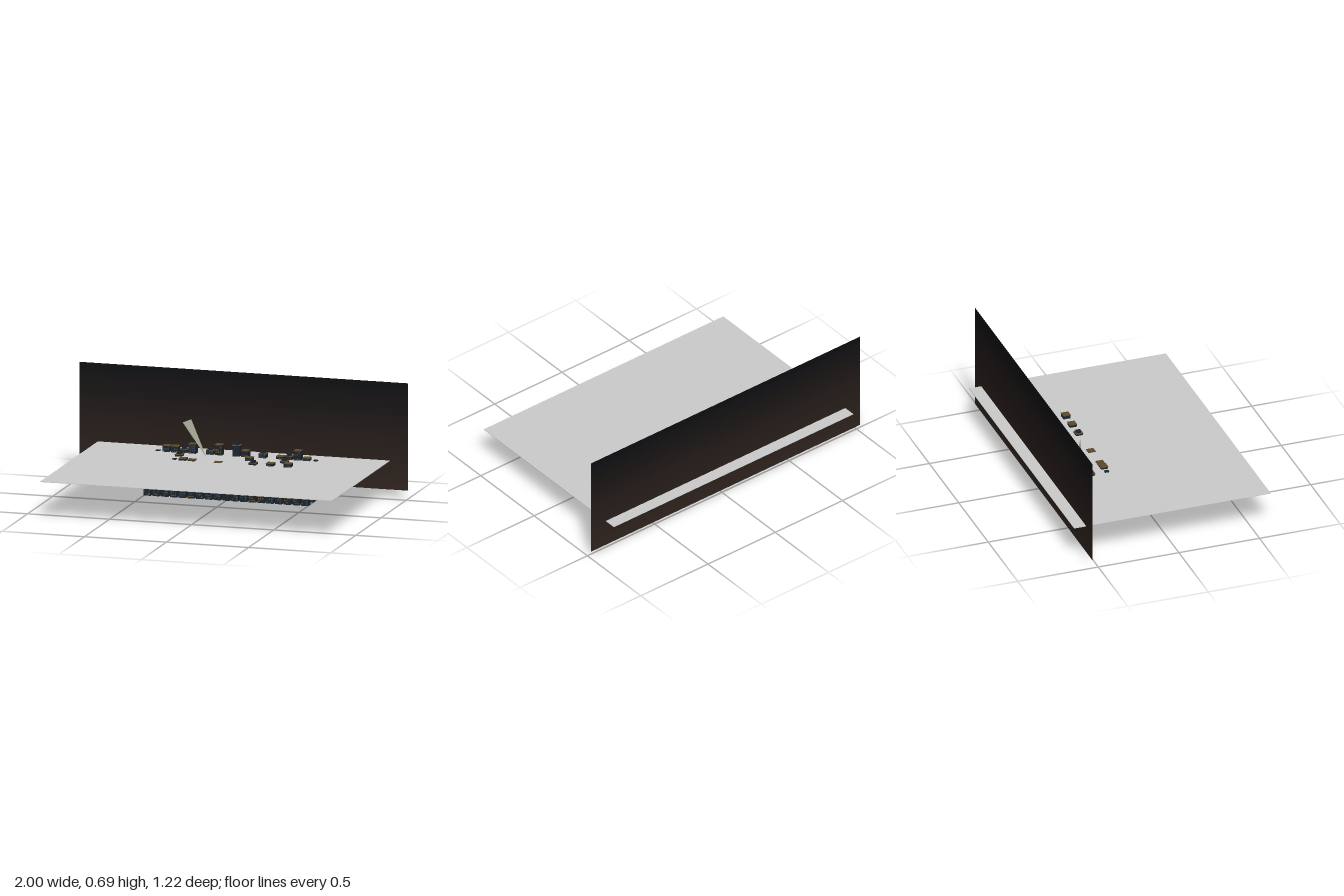
import * as THREE from 'three';
import { mergeGeometries } from 'three/addons/utils/BufferGeometryUtils.js';

const mat = (color) => new THREE.MeshStandardMaterial({ color });
const box = (w, h, d, x, y, z) => new THREE.BoxGeometry(w, h, d).translate(x, y, z);

export function createModel() {
  const model = new THREE.Group();
  const add = (name, geometry, material, parent = model) => {
    const mesh = new THREE.Mesh(geometry, material);
    mesh.name = name;
    parent.add(mesh);
    return mesh;
  };
  let seed = 7;
  const rand = () => (seed = (seed * 16807) % 2147483647) / 2147483647;

  // Thin floor sheet that the taller roofs poke through
  add('floor', box(1.78, 0.003, 1.22, 0, 0.221, 0), mat(0xcccccc));

  // Night sky backdrop, fading from black to warm brown in strips
  const sky = new THREE.Group();
  sky.name = 'skyBackdrop';
  const strips = 16, y0 = 0.05, y1 = 0.69;
  const low = new THREE.Color(0x30241e), high = new THREE.Color(0x0b0d11);
  for (let i = 0; i < strips; i++) {
    const h = (y1 - y0) / strips;
    const m = mat(0xffffff);
    m.color.copy(low).lerp(high, (i + 0.5) / strips);
    m.side = THREE.DoubleSide;
    add('skyStrip', new THREE.PlaneGeometry(2, h).translate(0, y0 + (i + 0.5) * h, -0.535), m, sky);
  }
  model.add(sky);

  // Rows of towers: column index from -9 to 9 -> height above the floor sheet
  const rows = [
    { z: -0.4, huts: [-9, -6, -3, 0, 3, 6, 9],
      tall: { '-8': 0.26, '-7': 0.26, '-6': 0.245, '-5': 0.28, '-3': 0.25, '-2': 0.285, 0: 0.288,
        1: 0.26, 3: 0.25, 5: 0.24, 6: 0.245, 7: 0.28, 8: 0.24 } },
    { z: -0.3, huts: [-6, 6], tall: { '-6': 0.235, 2: 0.243, 6: 0.235 } },
    { z: -0.2, huts: [-6, 3],
      tall: { '-5': 0.235, '-4': 0.23, '-1': 0.225, 3: 0.235, 5: 0.24, 7: 0.245 } },
  ];
  const wallMat = mat(0x1c252e), roofMat = mat(0x5c4a2a), hutMat = mat(0x1e222a);
  const litMat = mat(0x6e5a34), dimMat = mat(0x38465a);
  const step = 0.0533, width = 0.043;
  for (const { z, huts, tall } of rows) {
    const row = new THREE.Group();
    row.name = 'towerRow';
    const walls = [], roofs = [], roofHuts = [], lit = [], dim = [];
    for (let c = -9; c <= 9; c++) {
      const x = c * step;
      const hut = huts.includes(c);
      const h = tall[c] ?? (hut ? 0.215 : 0.19 + 0.025 * rand());
      walls.push(box(width, h - 0.003, width, x, (h - 0.003) / 2, z));
      roofs.push(box(width + 0.003, 0.003, width + 0.003, x, h - 0.0015, z));
      if (hut) roofHuts.push(box(0.024, 0.013, 0.026, x, h + 0.0055, z));
      // Windows on the street side
      if (c === 0) continue;
      for (let y = 0.012; y < h - 0.008; y += 0.0135) {
        for (let k = -1; k <= 1; k++) {
          const r = rand();
          if (r < 0.3) continue;
          (r < 0.65 ? lit : dim).push(box(0.008, 0.007, 0.003, x + k * 0.013, y, z + width / 2));
        }
      }
    }
    add('towerWalls', mergeGeometries(walls), wallMat, row);
    add('towerRoofs', mergeGeometries(roofs), roofMat, row);
    add('roofHuts', mergeGeometries(roofHuts), hutMat, row);
    add('litWindows', mergeGeometries(lit), litMat, row);
    add('dimWindows', mergeGeometries(dim), dimMat, row);
    model.add(row);
  }

  // Flat upright searchlight beam
  const beam = new THREE.BufferGeometry().setFromPoints([
    new THREE.Vector3(-0.15, 0.222, -0.288),
    new THREE.Vector3(-0.26, 0.435, -0.341),
    new THREE.Vector3(-0.325, 0.405, -0.38),
  ]);
  beam.computeVertexNormals();
  const beamMat = mat(0xd2d6bc);
  beamMat.side = THREE.DoubleSide;
  add('searchlightBeam', beam, beamMat);

  // Flat winged glider just below the floor sheet
  const half = [[0, 0.075], [0.02, 0.03], [0.05, 0.04], [0.07, -0.02], [0.04, -0.045], [0.02, -0.04], [0, -0.075]];
  const outline = [...half, ...half.slice(1, -1).reverse().map(([x, z]) => [-x, z])];
  const wing = new THREE.ExtrudeGeometry(
    new THREE.Shape(outline.map(([x, z]) => new THREE.Vector2(x, z))),
    { depth: 0.008, bevelEnabled: false });
  wing.rotateX(Math.PI / 2).translate(0, 0.216, -0.165);
  add('glider', wing, mat(0x14171c));

  return model;
}
